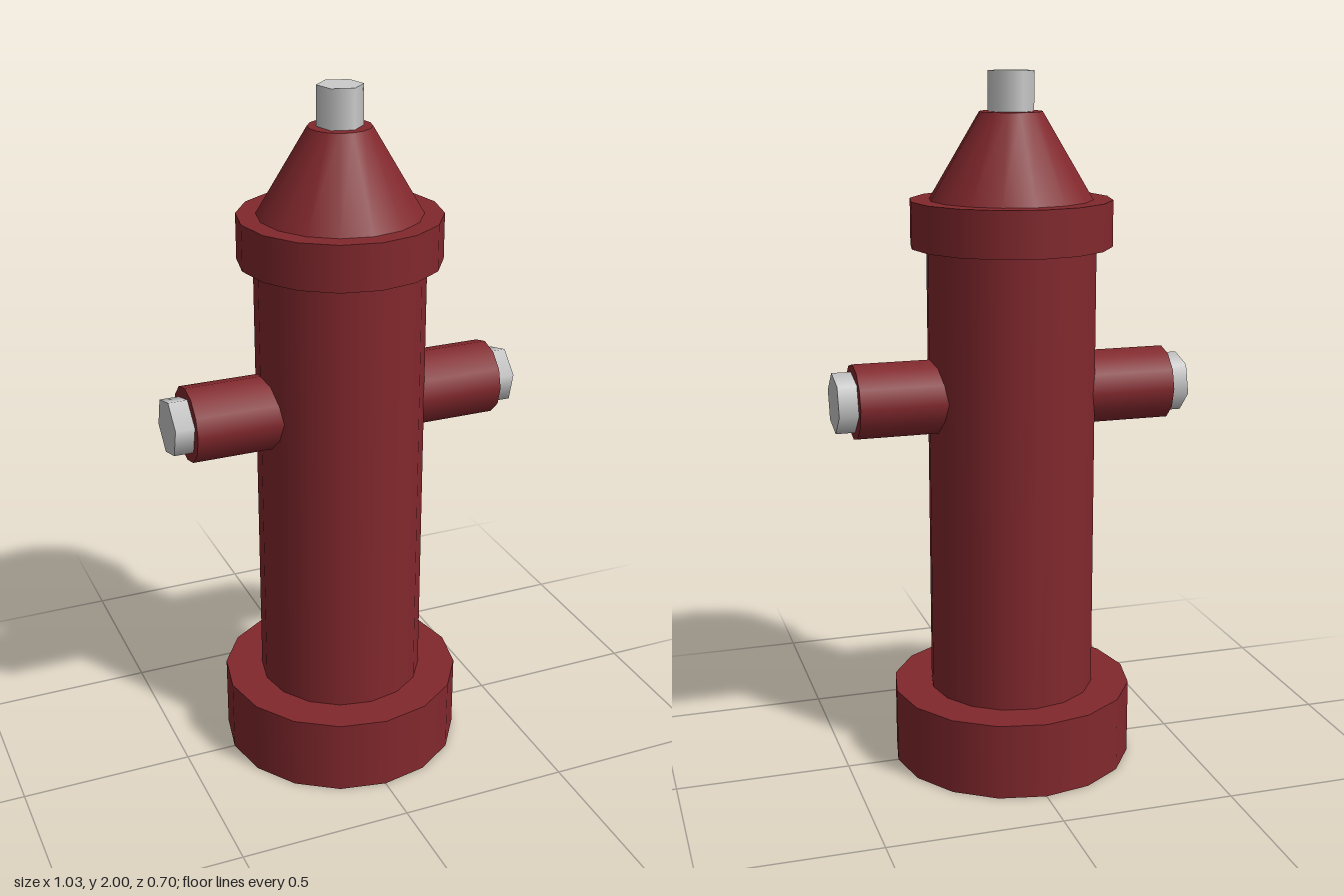
import * as THREE from 'three';

const red = new THREE.MeshStandardMaterial({ color: 0x82282d });
const grey = new THREE.MeshStandardMaterial({ color: 0xcccccc });
const SIDES = 16;
const NUT_TURN = Math.PI / 12;
const ARM_Y = 1.1;

// Upright drum between two heights
function drum(name, rBottom, rTop, y0, y1, sides = SIDES, material = red, turn = 0) {
  const geometry = new THREE.CylinderGeometry(rTop, rBottom, y1 - y0, sides, 1, false, turn);
  const mesh = new THREE.Mesh(geometry, material);
  mesh.name = name;
  mesh.position.y = (y0 + y1) / 2;
  return mesh;
}

// Sideways drum between two x positions
function sideDrum(name, radius, x0, x1, sides, material, turn = 0) {
  const geometry = new THREE.CylinderGeometry(radius, radius, x1 - x0, sides, 1, false, turn);
  geometry.rotateZ(-Math.PI / 2);
  const mesh = new THREE.Mesh(geometry, material);
  mesh.name = name;
  mesh.position.set((x0 + x1) / 2, ARM_Y, 0);
  return mesh;
}

export function createModel() {
  const hydrant = new THREE.Group();
  hydrant.name = 'hydrant';

  // Upright stack
  hydrant.add(
    drum('base', 0.35, 0.35, 0, 0.22),
    drum('barrel', 0.24, 0.24, 0.22, 1.52),
    drum('collar', 0.285, 0.285, 1.52, 1.65),
    drum('bonnet', 0.23, 0.088, 1.65, 1.89),
    drum('topNut', 0.064, 0.064, 1.89, 2, 6, grey, NUT_TURN),
  );

  // Outlets on both sides, each closed by a hexagonal nut
  for (const [side, s] of [['left', 1], ['right', -1]]) {
    const span = (a, b) => (s > 0 ? [a, b] : [-b, -a]);
    hydrant.add(
      sideDrum(side + 'Outlet', 0.108, ...span(0.15, 0.46), 12, red),
      sideDrum(side + 'OutletNut', 0.085, ...span(0.44, 0.515), 6, grey, -NUT_TURN),
    );
  }
  return hydrant;
}
